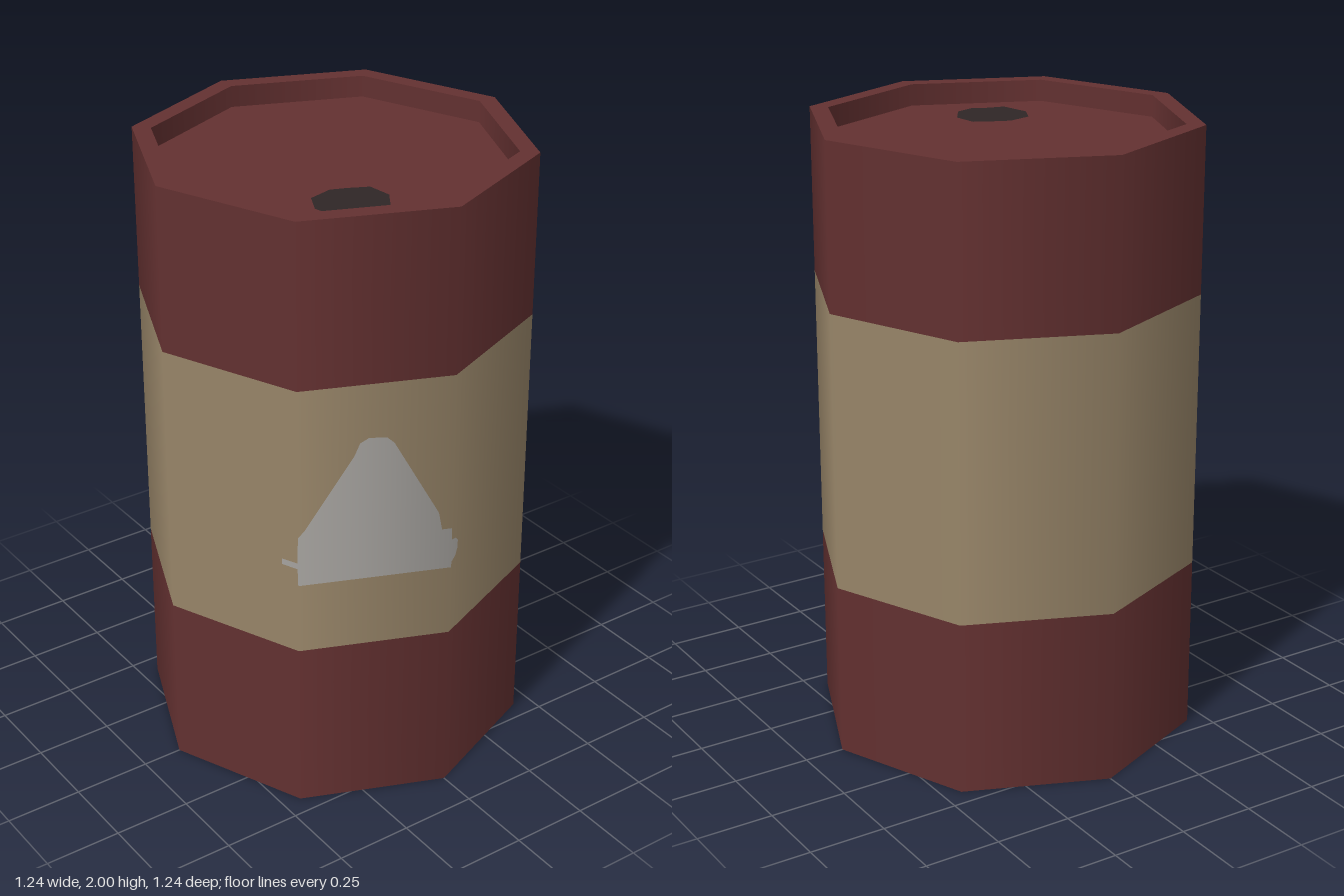
import * as THREE from 'three';

const R = 0.62;        // outer corner radius
const RIM = 0.56;      // inner corner radius of the rim
const LID = 1.93;      // height of the sunken lid

const mat = (name, color) => {
  const m = new THREE.MeshStandardMaterial({ color });
  m.name = name;
  return m;
};

export function createModel() {
  const red = mat('dark red', 0x643131);
  const tan = mat('tan', 0x9a876a);
  const grey = mat('light grey', 0xa8a5a1);
  const black = mat('near black', 0x2f2727);

  const barrel = new THREE.Group();
  barrel.name = 'barrel';
  const add = (name, geometry, material) => {
    const mesh = new THREE.Mesh(geometry, material);
    mesh.name = name;
    barrel.add(mesh);
    return mesh;
  };

  // Eight-sided surface swept between two profile points
  const ring = (name, r1, y1, r2, y2, material) =>
    add(name, new THREE.LatheGeometry([new THREE.Vector2(r1, y1), new THREE.Vector2(r2, y2)], 8), material);

  // Painted sides
  ring('lowerSide', R, 0, R, 0.57, red);
  ring('middleBand', R, 0.57, R, 1.47, tan);
  ring('upperSide', R, 1.47, R, 2, red);

  // Base, rim and sunken lid
  ring('base', 0, 0, R, 0, red);
  ring('rim', R, 2, RIM, 2, red);
  ring('rimInnerWall', RIM, 2, RIM, LID, red);
  ring('lid', RIM, LID, 0, LID, red);

  // Filler hole painted on the lid, outlined in x and z
  const hole = new THREE.Shape([
    [-0.14, 0.18], [-0.09, 0.2], [-0.03, 0.23], [-0.02, 0.31], [-0.07, 0.385],
    [-0.13, 0.405], [-0.17, 0.385], [-0.235, 0.37], [-0.255, 0.27], [-0.22, 0.2],
  ].map(([x, z]) => new THREE.Vector2(x, -z)));
  add('fillerHole', new THREE.ShapeGeometry(hole).rotateX(-Math.PI / 2), black).position.y = LID + 0.004;

  // Warning triangle wrapped over the front faces: columns of x, low y, high y
  const columns = [
    [-0.46, 0.87, 0.89], [-0.439, 0.87, 0.89], [-0.438, 0.81, 0.98], [-0.42, 0.81, 1.0],
    [-0.28, 0.81, 1.24], [-0.265, 0.81, 1.28], [-0.24, 0.81, 1.295], [-0.19, 0.81, 1.29],
    [-0.17, 0.81, 1.27], [-0.04, 0.81, 1.01], [-0.03, 0.81, 0.95], [-0.001, 0.81, 0.95],
    [0, 0.83, 0.91], [0.02, 0.84, 0.905], [0.033, 0.865, 0.89],
  ];
  const corner = R * Math.SQRT1_2;
  const surfaceZ = (x) => {
    const a = Math.abs(x);
    return a < corner ? R - a * (Math.SQRT2 - 1) : corner - (a - corner) * (Math.SQRT2 + 1);
  };
  const pos = [], normal = [], index = [];
  columns.forEach(([x, low, high], i) => {
    const z = surfaceZ(x);
    const d = Math.hypot(x, z);
    for (const y of [low, high]) {
      pos.push(x + 0.004 * x / d, y, z + 0.004 * z / d);
      normal.push(x / d, 0, z / d);
    }
    if (i > 0) {
      const b = 2 * i;
      index.push(b - 2, b, b + 1, b - 2, b + 1, b - 1);
    }
  });
  const sign = new THREE.BufferGeometry();
  sign.setAttribute('position', new THREE.Float32BufferAttribute(pos, 3));
  sign.setAttribute('normal', new THREE.Float32BufferAttribute(normal, 3));
  sign.setIndex(index);
  add('warningTriangle', sign, grey);

  return barrel;
}
